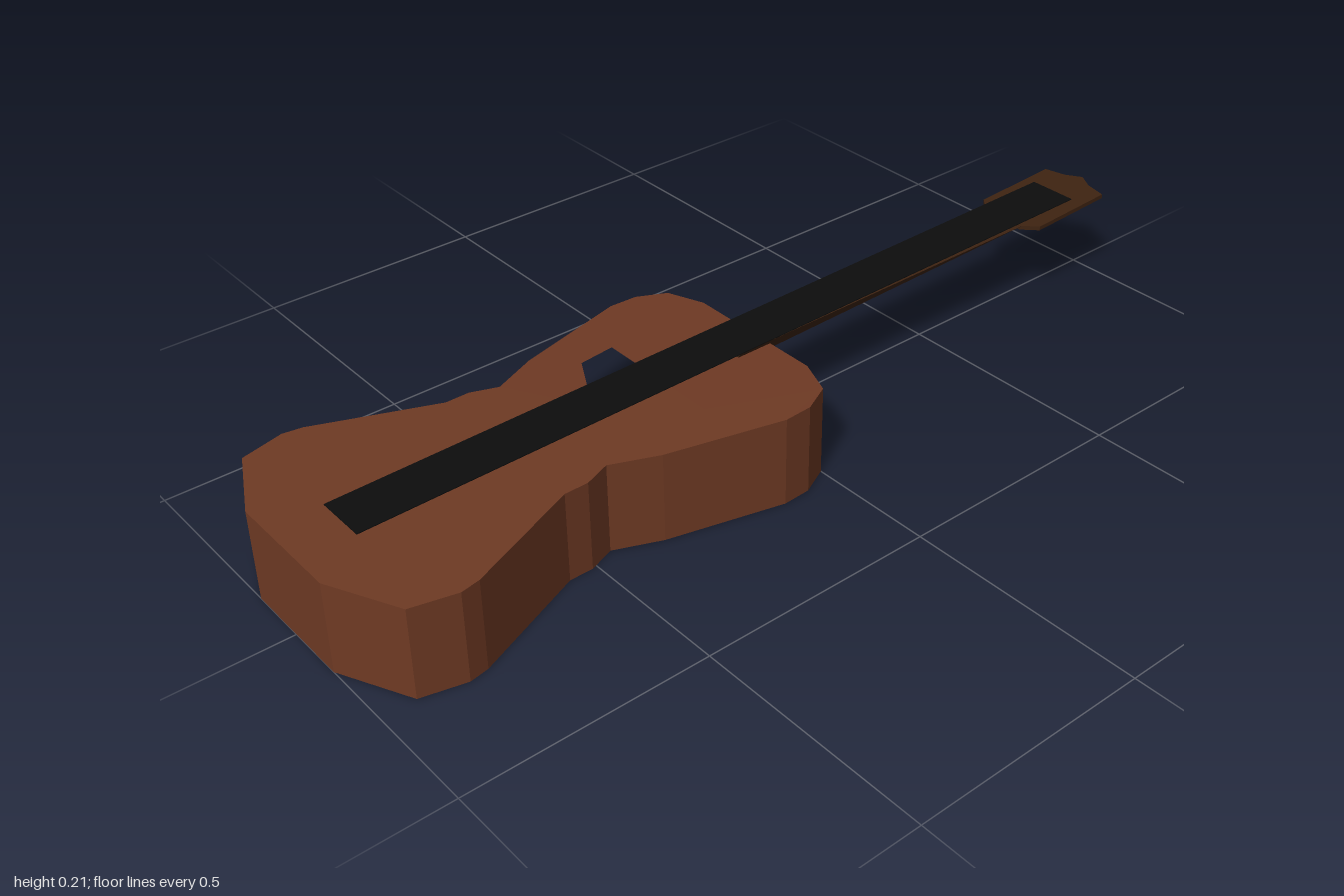
import * as THREE from 'three';

const mat = (name, color) => {
  const m = new THREE.MeshStandardMaterial({ color });
  m.name = name;
  return m;
};

// Mirror the +x half of an outline, given as [x, z], into a closed shape
function mirroredShape(half) {
  const other = half.filter(([x]) => x > 0).map(([x, z]) => [-x, z]).reverse();
  return new THREE.Shape([...half, ...other].map(([x, z]) => new THREE.Vector2(x, -z)));
}

// Flat-lying slab from y0 to y1
function slab(shape, y0, y1) {
  const g = new THREE.ExtrudeGeometry(shape, { depth: y1 - y0, bevelEnabled: false });
  return g.rotateX(-Math.PI / 2).translate(0, y0, 0);
}

// Move every vertex by a rule and refresh the flat normals
function reshape(geometry, rule) {
  const g = geometry.index ? geometry.toNonIndexed() : geometry;
  const p = g.attributes.position;
  const v = new THREE.Vector3();
  for (let i = 0; i < p.count; i++) {
    rule(v.fromBufferAttribute(p, i));
    p.setXYZ(i, v.x, v.y, v.z);
  }
  g.computeVertexNormals();
  return g;
}

export function createModel() {
  const group = new THREE.Group();
  const wood = mat('bodyWood', 0x6f3a24);
  const darkWood = mat('neckWood', 0x3e2311);
  const black = mat('black', 0x0d0d0d);
  const add = (name, geometry, material) => {
    const mesh = new THREE.Mesh(geometry, material);
    mesh.name = name;
    group.add(mesh);
    return mesh;
  };

  // Hollow body with an angular sound hole, closed by a back panel
  const outline = [
    [0.155, -0.03], [0.232, 0], [0.262, 0.06], [0.265, 0.12], [0.205, 0.36], [0.165, 0.455],
    [0.186, 0.51], [0.186, 0.56], [0.285, 0.80], [0.292, 0.84], [0.27, 0.93], [0.125, 1],
  ];
  const hole = [[0.14, 0.212], [0.132, 0.29], [0.05, 0.335]];
  const body = mirroredShape(outline);
  body.holes.push(mirroredShape(hole));
  add('body', slab(body, 0.015, 0.19), wood);
  add('backPanel', slab(mirroredShape(outline), 0, 0.015), wood);
  add('soundHoleFloor', slab(mirroredShape(hole), 0.015, 0.02), black);

  // Neck tapering in depth towards the head, narrower underneath
  const z0 = 0.05, z1 = -0.76;
  const neck = new THREE.BoxGeometry(0.104, 1, z0 - z1).translate(0, 0, (z0 + z1) / 2);
  add('neck', reshape(neck, (v) => {
    if (v.y > 0) {
      v.y = 0.199;
    } else {
      v.x *= 0.7;
      v.y = THREE.MathUtils.mapLinear(v.z, z0, z1, 0.168, 0.19);
    }
  }), darkWood);

  // Headstock, tilted gently upwards
  const head = mirroredShape([
    [0.05, -0.74], [0.082, -0.768], [0.082, -0.97], [0.035, -0.98], [0, -1],
  ]);
  add('headstock', reshape(slab(head, 0.191, 0.2), (v) => {
    v.y += (-0.74 - v.z) * 0.046;
  }), darkWood);

  // Long black strip running from the head to the lower body
  const strip = add('fingerboardStrip', new THREE.BoxGeometry(0.108, 0.002, 1.79), black);
  strip.position.set(0, 0.2015, -0.005);
  strip.rotation.x = Math.atan2(0.0195, 1.79);

  return group;
}
